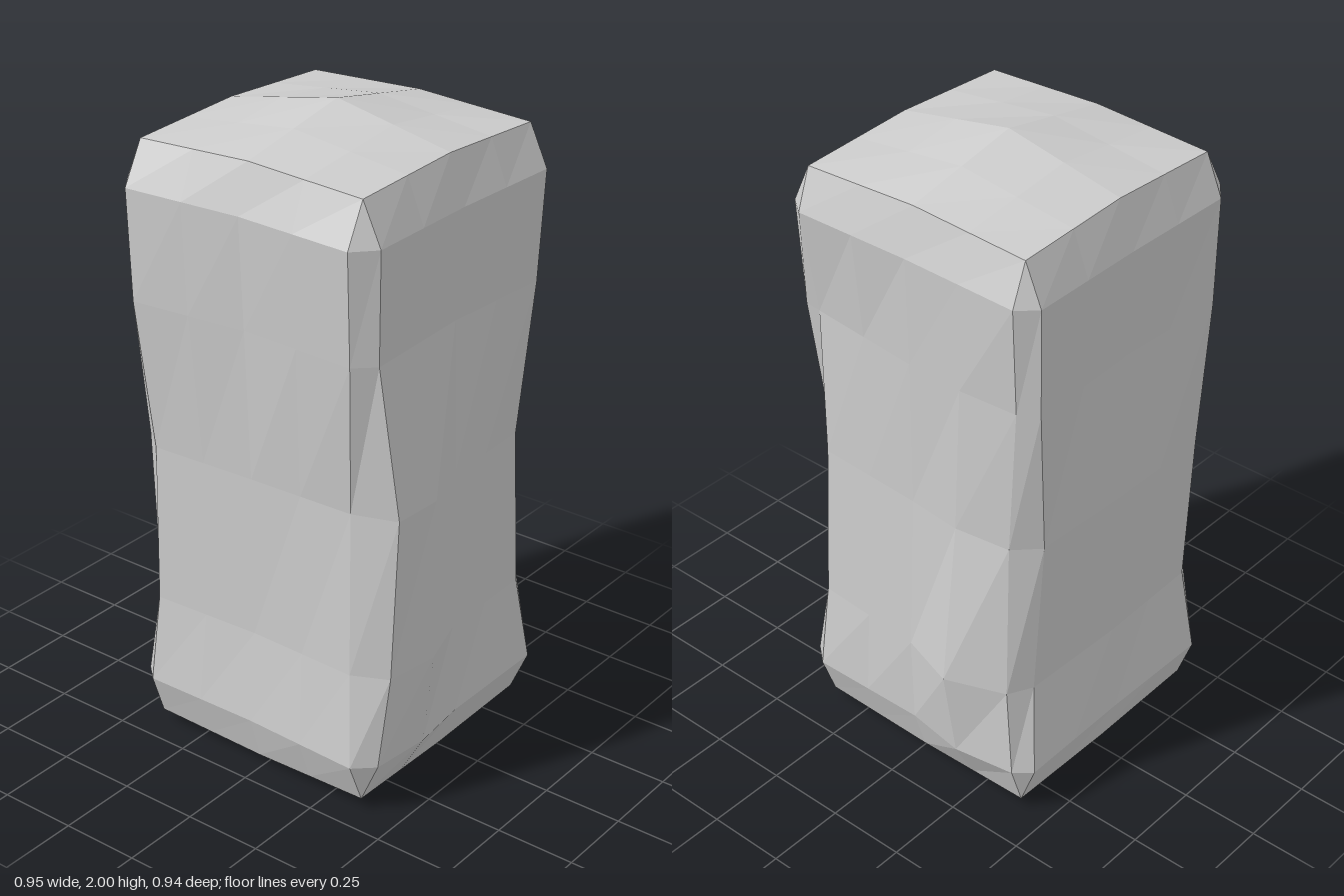
import * as THREE from 'three';

const lerp = THREE.MathUtils.lerp;
const LEVELS = [0.17, 0.46, 0.97, 1.44, 1.78];
// How far the sides narrow at each level
const WAIST = [0, 0.035, 0.05, 0.01, 0];

// Sides run counter-clockwise seen from above. Each has its span, how much each
// end narrows, and the depth at start, middle and end from bottom to top.
const FRONT = {
  at: (t, d) => [t, d],
  span: [-0.41, 0.365], pinch: [0.9, 1.5],
  start: [0.43, 0.45, 0.465, 0.42, 0.43],
  middle: [0.43, 0.42, 0.42, 0.4, 0.42],
  end: [0.43, 0.41, 0.405, 0.42, 0.43],
  bulge: { column: 1, amounts: [0.02, 0.04, 0.03, 0, 0] },
};
const LEFT = {
  at: (t, d) => [d, -t],
  span: [-0.37, 0.405], pinch: [0.5, 0.7],
  start: [0.415, 0.39, 0.37, 0.355, 0.41],
  middle: [0.41, 0.415, 0.39, 0.395, 0.405],
  end: [0.41, 0.405, 0.385, 0.39, 0.415],
  bulge: { column: 3, amounts: [0.03, 0.065, 0.02, 0.01, 0] },
};
const BACK = {
  at: (t, d) => [-t, -d],
  span: [-0.365, 0.41], pinch: [1, 0.8],
  start: [0.455, 0.42, 0.44, 0.455, 0.46],
  middle: [0.45, 0.43, 0.45, 0.44, 0.455],
  end: [0.455, 0.42, 0.45, 0.46, 0.46],
};
const RIGHT = {
  at: (t, d) => [-d, t],
  span: [-0.405, 0.37], pinch: [0.7, 0.8],
  start: [0.455, 0.435, 0.435, 0.475, 0.48],
  middle: [0.45, 0.42, 0.42, 0.44, 0.455],
  end: [0.465, 0.43, 0.41, 0.455, 0.475],
};
const SIDES = [FRONT, LEFT, BACK, RIGHT];
const COLUMNS = [0, 1, 2, 3, 4];

// Domed cap: u and v run from -1 to 1 across the block
function capPoint(u, v, top) {
  const a = 1 - Math.abs(u), b = 1 - Math.abs(v);
  const y = top
    ? 1.907 + 0.018 * (a + b) + 0.057 * a * b
    : 0.035 - 0.008 * (a + b) - 0.019 * a * b;
  return new THREE.Vector3(lerp(-0.41, 0.365, (u + 1) / 2), y, lerp(-0.405, 0.37, (v + 1) / 2));
}

// Cap border in the same order as the side rings, corners doubled
function capRing(top) {
  return SIDES.flatMap(({ at }) =>
    COLUMNS.map((c) => capPoint(...at(c / 2 - 1, 1), top)));
}

// Outline of the four sides at one level
function sideRing(y, level) {
  return SIDES.flatMap(({ at, span, pinch, start, middle, end, bulge }) => {
    const from = span[0] + pinch[0] * WAIST[level];
    const to = span[1] - pinch[1] * WAIST[level];
    return COLUMNS.map((c) => {
      let depth = c < 2
        ? lerp(start[level], middle[level], c / 2)
        : lerp(middle[level], end[level], c / 2 - 1);
      if (bulge?.column === c) depth += bulge.amounts[level];
      const [x, z] = at(lerp(from, to, c / 4), depth);
      return new THREE.Vector3(x, y, z);
    });
  });
}

function buildStone() {
  const positions = [];
  const tri = (a, b, c) => {
    const area = b.clone().sub(a).cross(c.clone().sub(a)).length();
    if (area > 1e-8) for (const p of [a, b, c]) positions.push(p.x, p.y, p.z);
  };
  const quad = (a, b, c, d) => { tri(a, b, c); tri(a, c, d); };

  // Walls and the bevelled corners between them
  const rings = [capRing(false), ...LEVELS.map(sideRing), capRing(true)];
  for (let r = 0; r < rings.length - 1; r++) {
    const low = rings[r], high = rings[r + 1], n = low.length;
    for (let i = 0; i < n; i++) {
      const j = (i + 1) % n;
      quad(low[i], low[j], high[j], high[i]);
    }
  }

  // Top and bottom caps
  for (const top of [true, false]) {
    for (let i = 0; i < 4; i++) {
      for (let j = 0; j < 4; j++) {
        const p = (di, dj) => capPoint((i + di) / 2 - 1, (j + dj) / 2 - 1, top);
        if (top) quad(p(0, 0), p(0, 1), p(1, 1), p(1, 0));
        else quad(p(0, 0), p(1, 0), p(1, 1), p(0, 1));
      }
    }
  }

  const geometry = new THREE.BufferGeometry();
  geometry.setAttribute('position', new THREE.Float32BufferAttribute(positions, 3));
  geometry.computeVertexNormals();
  return geometry;
}

export function createModel() {
  const group = new THREE.Group();
  group.name = 'stonePillar';
  const stone = new THREE.Mesh(
    buildStone(),
    new THREE.MeshStandardMaterial({ color: 0xcccccc, flatShading: true }),
  );
  stone.name = 'stoneBlock';
  group.add(stone);
  return group;
}
